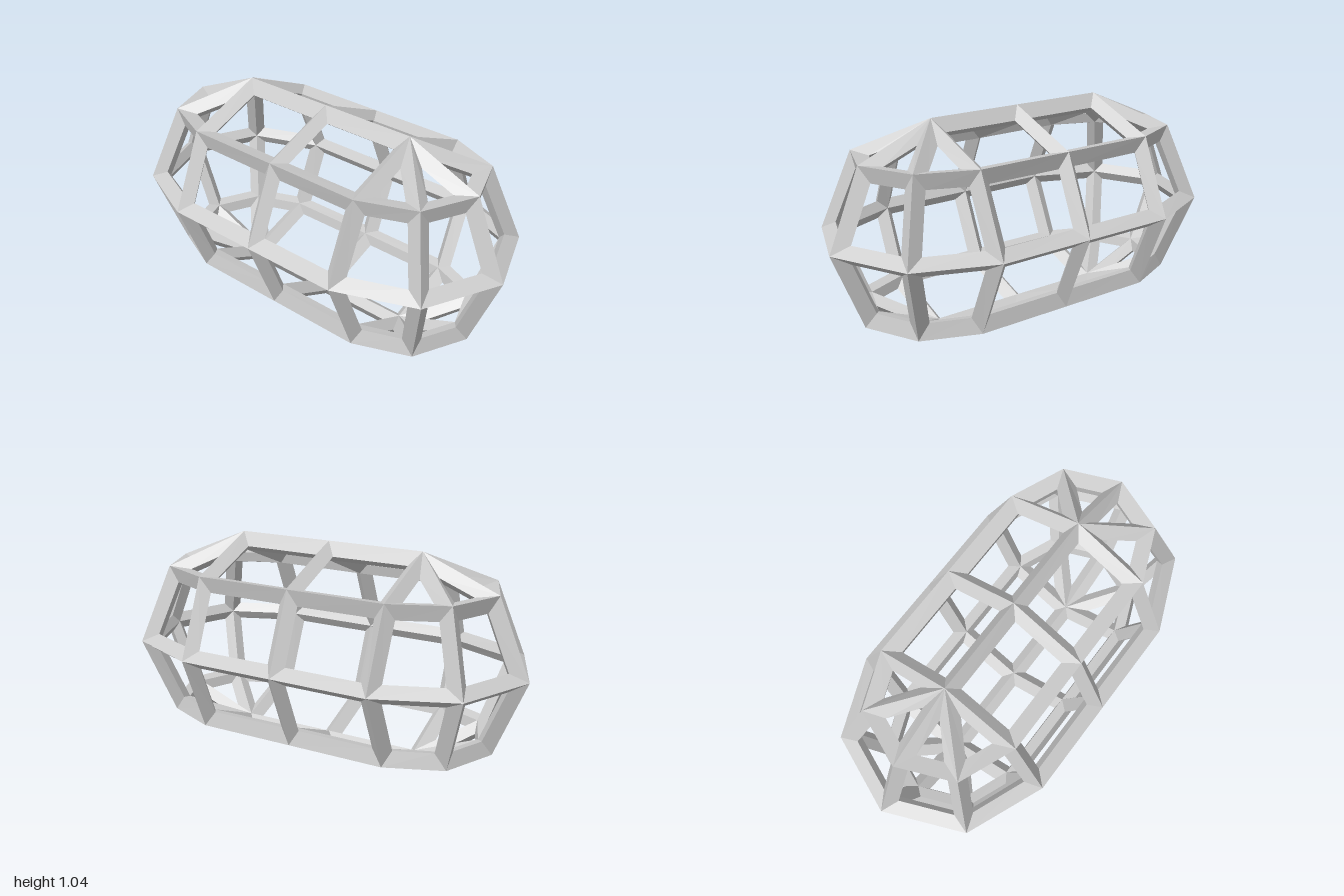
import * as THREE from 'three';

const R = 0.522;     // radius of the rounded ends and of the body
const HALF = 0.478;  // half length of the straight middle
const T = 0.046;     // half thickness of a bar

// Columns of the cage, counter-clockwise seen from above: [centre x, heading]
function cageColumns() {
  const cols = [];
  for (let i = 0; i <= 4; i++) cols.push([HALF, i * Math.PI / 4]);
  cols.push([0, Math.PI]);
  for (let i = 4; i <= 8; i++) cols.push([-HALF, i * Math.PI / 4]);
  cols.push([0, 0]);
  return cols;
}

// Point of the cage on a column, row 0 (bottom) to 4 (top)
function cagePoint([cx, a], row) {
  const lat = (row - 2) * Math.PI / 4;
  const r = R * Math.cos(lat);
  return new THREE.Vector3(cx + r * Math.sin(a), R + R * Math.sin(lat), r * Math.cos(a));
}

const direction = (from, to) => to.clone().sub(from).normalize();
const keyOf = (p) => p.toArray().map((n) => Math.round(n * 1000)).join();

// Panels as loops of corners; those touching the poles become triangles
function cagePanels() {
  const cols = cageColumns();
  const panels = [];
  cols.forEach((col, c) => {
    const next = cols[(c + 1) % cols.length];
    const part = col[0] !== next[0] ? 'middleFrame' : col[0] > 0 ? 'leftEndFrame' : 'rightEndFrame';
    for (let row = 0; row < 4; row++) {
      const loop = [cagePoint(col, row), cagePoint(next, row), cagePoint(next, row + 1), cagePoint(col, row + 1)];
      const corners = loop.filter((p, i) => p.distanceTo(loop[(i + 1) % 4]) > 1e-4);
      panels.push({ part, corners });
    }
  });
  return panels;
}

export function createModel() {
  const group = new THREE.Group();
  group.name = 'capsuleCage';
  const material = new THREE.MeshStandardMaterial({ color: 0xcccccc, flatShading: true });
  const panels = cagePanels();

  // Directions along each corner's two edges, and angle-weighted normals
  const normals = new Map();
  for (const panel of panels) {
    const n = panel.corners.length;
    panel.edges = panel.corners.map((p, i) => {
      const toNext = direction(p, panel.corners[(i + 1) % n]);
      const toPrev = direction(p, panel.corners[(i + n - 1) % n]);
      const angle = toNext.angleTo(toPrev);
      const normal = toNext.clone().cross(toPrev).normalize();
      const key = keyOf(p);
      if (!normals.has(key)) normals.set(key, new THREE.Vector3());
      normals.get(key).addScaledVector(normal, angle);
      return { toNext, toPrev, angle };
    });
  }
  normals.forEach((v) => v.normalize());

  // Each panel edge carries half of a diamond-section bar: outer and inner slope
  const parts = { middleFrame: [], leftEndFrame: [], rightEndFrame: [] };
  for (const { part, corners, edges } of panels) {
    const n = corners.length;
    const quad = (a, b, c, d) => [a, b, c, a, c, d].forEach((p) => parts[part].push(p));
    const inner = corners.map((p) => p.clone().addScaledVector(normals.get(keyOf(p)), -2 * T));
    const mid = corners.map((p, i) => {
      const { toNext, toPrev, angle } = edges[i];
      const inward = toNext.clone().add(toPrev).normalize();
      return p.clone().addScaledVector(normals.get(keyOf(p)), -T)
        .addScaledVector(inward, T / Math.sin(angle / 2));
    });
    for (let i = 0; i < n; i++) {
      const j = (i + 1) % n;
      quad(corners[i], corners[j], mid[j], mid[i]);
      quad(inner[j], inner[i], mid[i], mid[j]);
    }
  }

  for (const [name, points] of Object.entries(parts)) {
    const geometry = new THREE.BufferGeometry().setFromPoints(points);
    geometry.computeVertexNormals();
    const mesh = new THREE.Mesh(geometry, material);
    mesh.name = name;
    group.add(mesh);
  }
  return group;
}
